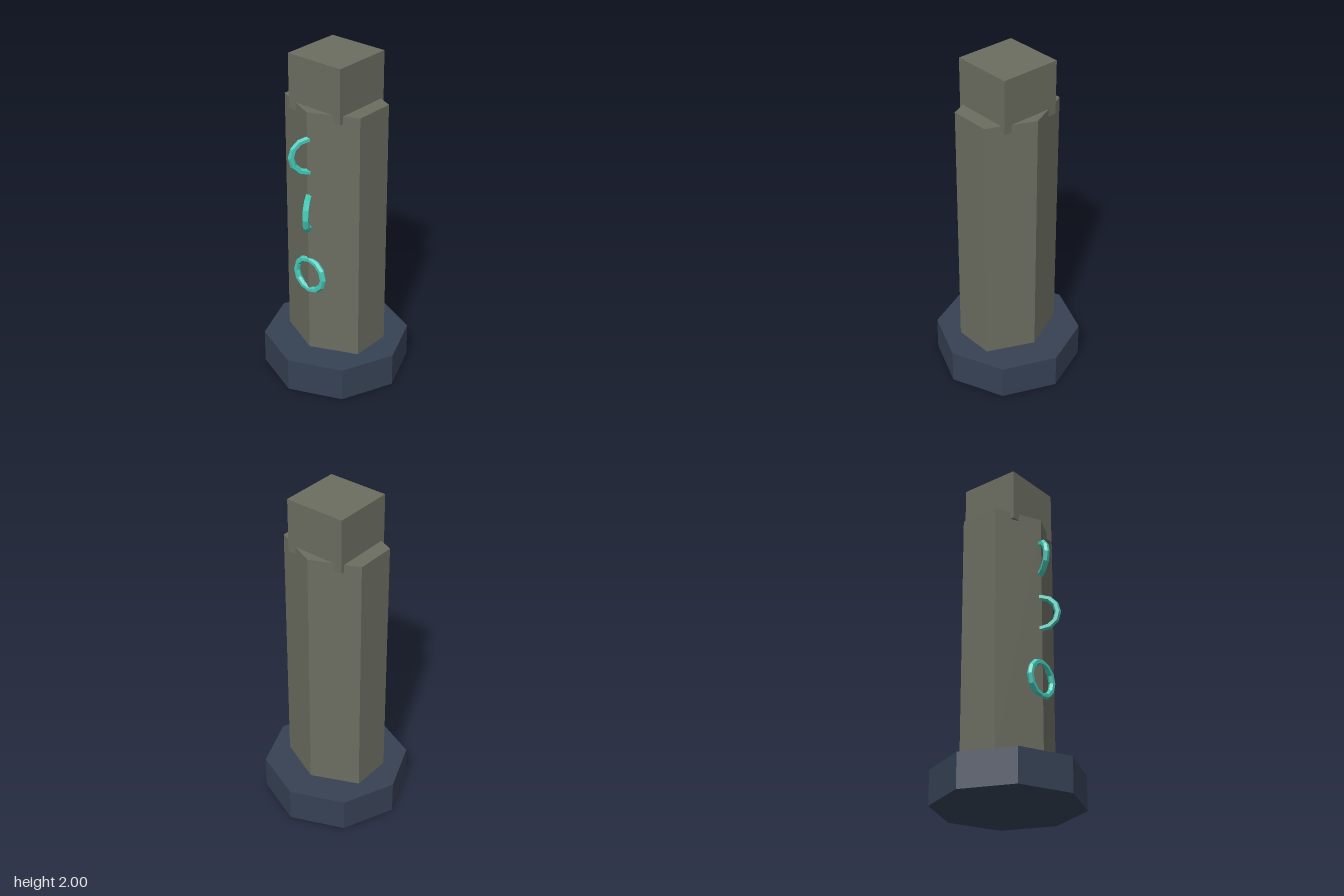
import * as THREE from 'three';

const paint = (name, color) => {
  const m = new THREE.MeshStandardMaterial({ color });
  m.name = name;
  return m;
};

// Unshared vertices give every face its own flat normal
const faceted = (geometry) => {
  const g = geometry.index ? geometry.toNonIndexed() : geometry;
  g.computeVertexNormals();
  return g;
};

export function createModel() {
  const slate = paint('slate blue', 0x364154);
  const stone = paint('stone grey', 0x6b6d60);
  const teal = paint('turquoise', 0x46cab8);

  const model = new THREE.Group();
  model.name = 'pillar';

  const add = (name, geometry, material, y, z = 0) => {
    const mesh = new THREE.Mesh(faceted(geometry), material);
    mesh.name = name;
    mesh.position.set(0, y, z);
    model.add(mesh);
    return mesh;
  };

  // Octagonal foot, corners on the axes
  add('base', new THREE.CylinderGeometry(0.437, 0.437, 0.205, 8), slate, 0.1025);

  // Hexagonal shaft, flattened front to back
  const shaft = new THREE.CylinderGeometry(0.315, 0.315, 1.53, 6).scale(1, 1, 0.778);
  add('column', shaft, stone, 0.96);

  // Square capstone sunk slightly into the shaft
  add('capstone', new THREE.BoxGeometry(0.37, 0.32, 0.37), stone, 1.84);

  // Rings set into the front edge, each turned differently
  const rings = [
    ['upperRing', 1.463, Math.PI / 3],
    ['middleRing', 1.113, -Math.PI / 3],
    ['lowerRing', 0.703, 0],
  ];
  for (const [name, y, turn] of rings) {
    add(name, new THREE.TorusGeometry(0.1, 0.019, 6, 12), teal, y, 0.234).rotation.y = turn;
  }

  return model;
}
